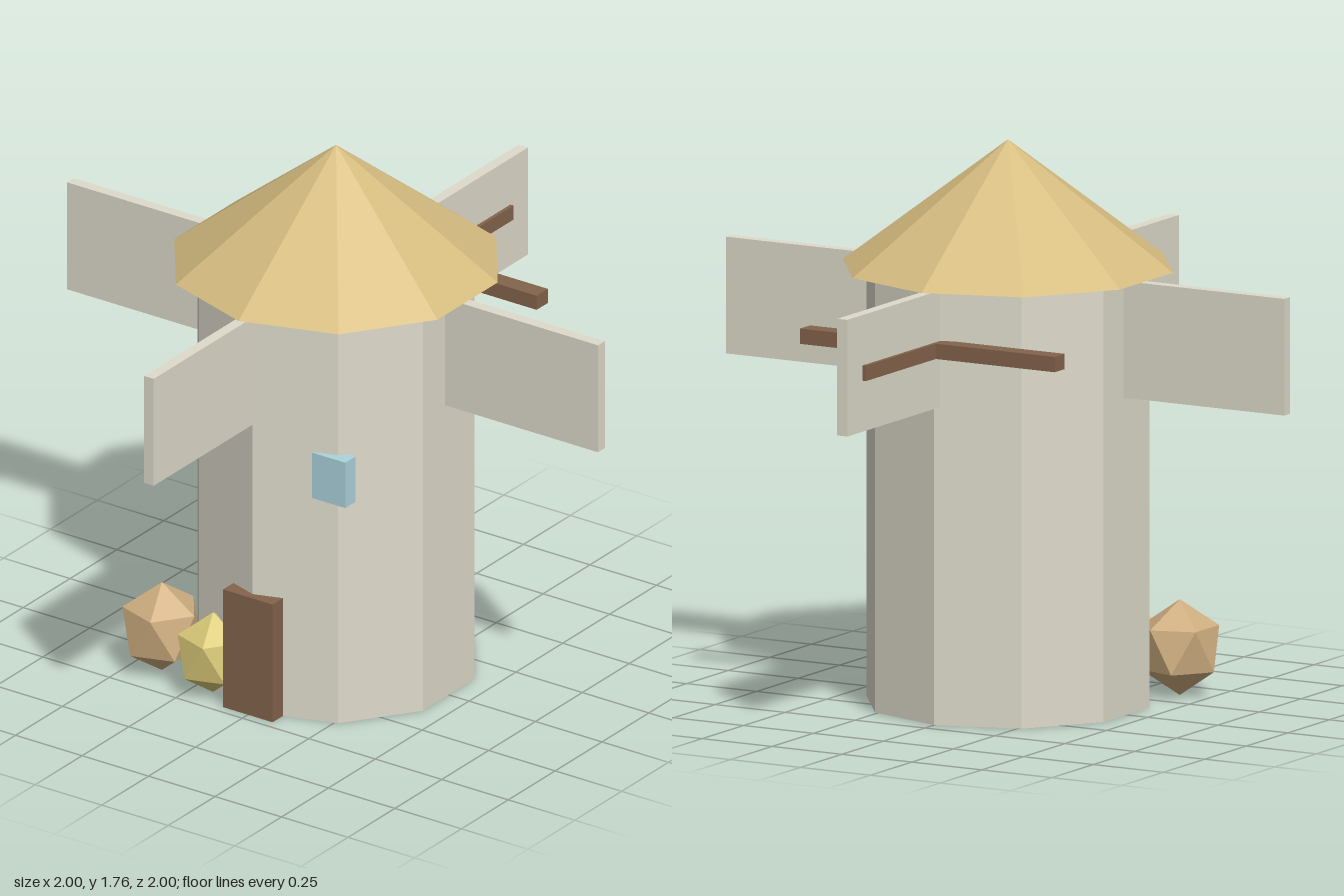
import * as THREE from 'three';

const mat = (color) => new THREE.MeshStandardMaterial({ color, flatShading: true });

export function createModel() {
  const model = new THREE.Group();
  const plaster = mat(0xdedacb), sailCloth = mat(0xdedacb), thatch = mat(0xd6bd80);
  const wood = mat(0x84644b), glass = mat(0xadd3de);

  const add = (name, geometry, material, x, y, z) => {
    const mesh = new THREE.Mesh(geometry, material);
    mesh.name = name;
    mesh.position.set(x, y, z);
    model.add(mesh);
    return mesh;
  };
  // Box given by its [min, max] range on each axis
  const box = (name, material, [x0, x1], [y0, y1], [z0, z1]) =>
    add(name, new THREE.BoxGeometry(x1 - x0, y1 - y0, z1 - z0), material,
      (x0 + x1) / 2, (y0 + y1) / 2, (z0 + z1) / 2);

  // Ten-sided tower and conical roof
  add('tower', new THREE.CylinderGeometry(0.445, 0.445, 1.36, 10), plaster, 0, 0.68, 0);
  add('roof', new THREE.ConeGeometry(0.52, 0.396, 10), thatch, 0, 1.562, 0);

  // Four flat sails around the tower
  for (let i = 0; i < 4; i++) {
    const geometry = new THREE.BoxGeometry(0.6, 0.365, 0.036);
    geometry.translate(0.698, 0, 0);
    add('sail', geometry, sailCloth, 0, 1.178, 0).rotation.y = i * Math.PI / 2;
  }

  // Crossed beams at the back
  box('crossBeam', wood, [-0.455, 0.455], [1.155, 1.203], [-0.485, -0.425]);
  box('tailBeam', wood, [-0.03, 0.03], [1.155, 1.203], [-0.905, 0]);

  // Door and window
  box('door', wood, [-0.093, 0.093], [0, 0.402], [0.415, 0.47]);
  box('window', glass, [0.185, 0.31], [0.76, 0.915], [0.335, 0.39]);

  // Faceted bushes, standing on one vertex
  const bush = (name, color, radius, height, x, z) => {
    const geometry = new THREE.IcosahedronGeometry(1, 0);
    geometry.rotateZ(-Math.atan(2 / (1 + Math.sqrt(5))));
    geometry.scale(radius, height / 2, radius);
    add(name, geometry, mat(color), x, height / 2, z);
  };
  bush('largeBush', 0xcfae80, 0.136, 0.3, -0.398, 0.364);
  bush('smallBush', 0xd8c877, 0.122, 0.272, -0.18, 0.4);

  return model;
}
